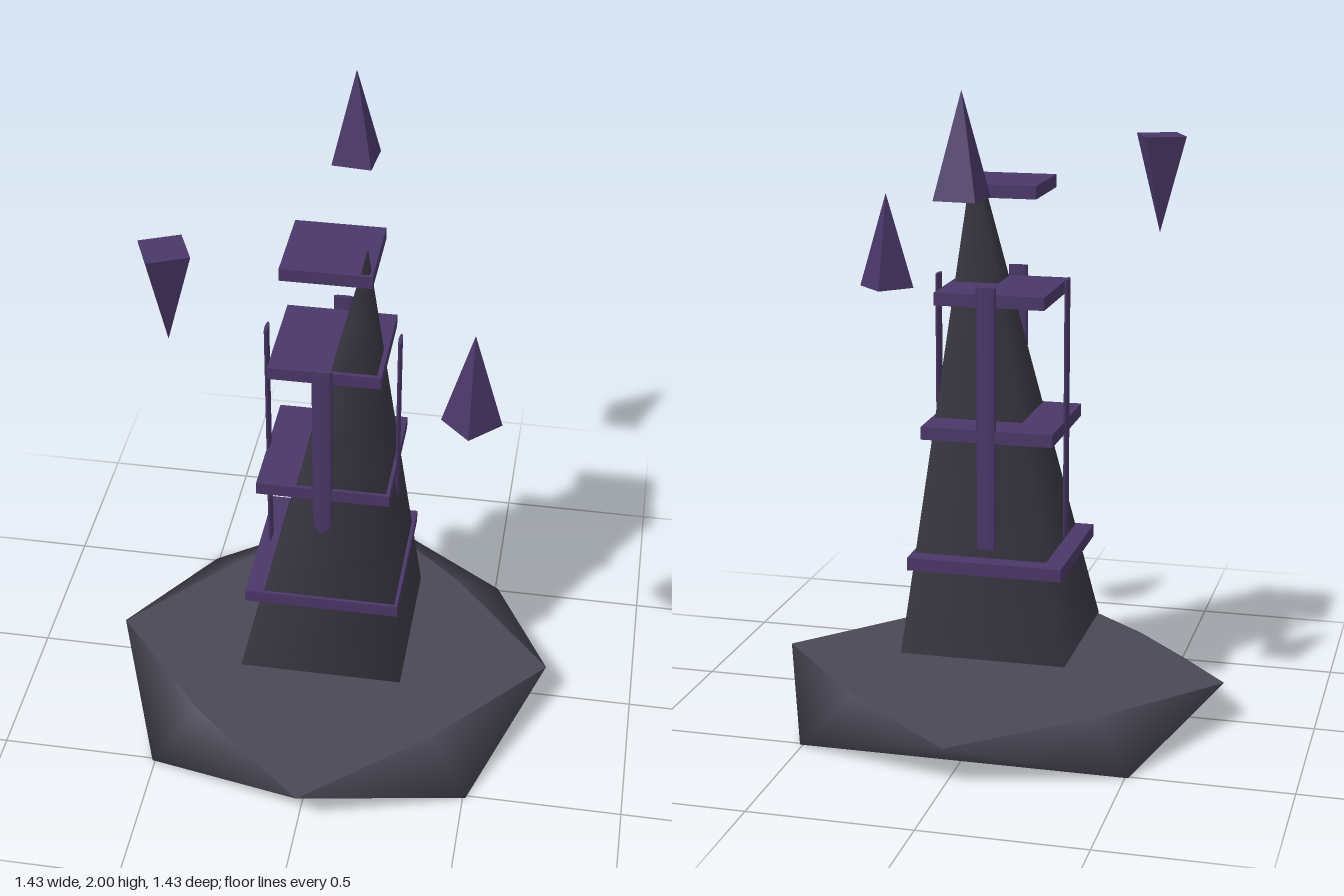
import * as THREE from 'three';

const rock = new THREE.MeshStandardMaterial({ color: 0x4a4855 });
const stone = new THREE.MeshStandardMaterial({ color: 0x36343e });
const purple = new THREE.MeshStandardMaterial({ color: 0x4a3768 });
const crystalMaterial = new THREE.MeshStandardMaterial({ color: 0x4a3768, flatShading: true });

function addMesh(parent, name, geometry, material, x = 0, y = 0, z = 0) {
  const mesh = new THREE.Mesh(geometry, material);
  mesh.name = name;
  mesh.position.set(x, y, z);
  parent.add(mesh);
  return mesh;
}

// Slab with a diamond-shaped top and a square bottom turned by 45 degrees
function slabGeometry(height) {
  const at = (step, r, y) => {
    const a = step * Math.PI / 4;
    return [r * Math.sin(a), y, r * Math.cos(a)];
  };
  const top = (k) => at(k, k % 2 ? 0.54 : 0.715, height);
  const bottom = (k) => at(k, 0.72, 0);
  const points = [];
  const index = [];
  // Sides share their corners, so they shade smoothly
  for (let k = 0; k < 8; k++) points.push(...top(k));
  for (let k = 1; k < 8; k += 2) points.push(...bottom(k));
  for (let i = 0; i < 4; i++) {
    const t = 2 * i, m = t + 1, next = (t + 2) % 8;
    const b = 8 + i, before = 8 + (i + 3) % 4;
    index.push(t, before, b, t, b, m, m, b, next);
  }
  // Caps have their own corners, so they stay flat
  const cap = points.length / 3;
  points.push(0, height, 0);
  for (let k = 0; k < 8; k++) points.push(...top(k));
  for (let k = 0; k < 8; k++) index.push(cap, cap + 1 + k, cap + 1 + (k + 1) % 8);
  const base = points.length / 3;
  for (let k = 1; k < 8; k += 2) points.push(...bottom(k));
  index.push(base, base + 2, base + 1, base, base + 3, base + 2);

  const geometry = new THREE.BufferGeometry();
  geometry.setAttribute('position', new THREE.Float32BufferAttribute(points, 3));
  geometry.setIndex(index);
  geometry.computeVertexNormals();
  return geometry;
}

// Square pyramid whose tip leans towards +x and +z
function spireGeometry(half, height, lean) {
  const geometry = new THREE.ConeGeometry(half * Math.SQRT2, height, 4, 6);
  geometry.rotateY(Math.PI / 4);
  geometry.translate(0, height / 2, 0);
  const s = lean / height;
  return geometry.applyMatrix4(new THREE.Matrix4().set(
    1, s, 0, 0,
    0, 1, 0, 0,
    0, s, 1, 0,
    0, 0, 0, 1));
}

export function createModel() {
  const model = new THREE.Group();
  model.name = 'floatingSpire';

  addMesh(model, 'baseSlab', slabGeometry(0.125), rock);
  addMesh(model, 'spire', spireGeometry(0.26, 1.535, 0.12), stone, 0, 0.23, 0);

  // Square plates, smaller towards the top
  const plates = new THREE.Group();
  plates.name = 'plates';
  model.add(plates);
  [[0.515, 0.243], [0.925, 0.206], [1.337, 0.171], [1.665, 0.137]].forEach(([y, half]) =>
    addMesh(plates, 'plate', new THREE.BoxGeometry(2 * half, 0.04, 2 * half), purple, 0, y, 0));

  // Flat upright strips, one on each side
  const strips = new THREE.Group();
  strips.name = 'strips';
  model.add(strips);
  const stripGeometry = new THREE.CylinderGeometry(0.031, 0.031, 0.815, 8);
  stripGeometry.rotateY(Math.PI / 2);
  stripGeometry.scale(1, 1, 0.2);
  for (let i = 0; i < 4; i++) {
    const a = i * Math.PI / 2;
    const strip = addMesh(strips, 'strip', stripGeometry, purple,
      0.204 * Math.sin(a), 0.978, 0.204 * Math.cos(a));
    strip.rotation.y = a;
  }

  // Floating shards: position, turn, and whether the tip points down
  const shards = new THREE.Group();
  shards.name = 'shards';
  model.add(shards);
  [
    [-0.012, 1.848, -0.513, 0.695, false],
    [-0.44, 1.648, 0.265, 1.2, true],
    [0.449, 1.438, 0.246, 0, false],
  ].forEach(([x, y, z, turn, down]) => {
    const geometry = new THREE.ConeGeometry(0.09, 0.305, 4);
    if (down) geometry.rotateX(Math.PI);
    addMesh(shards, 'shard', geometry, crystalMaterial, x, y, z).rotation.y = turn;
  });

  return model;
}
